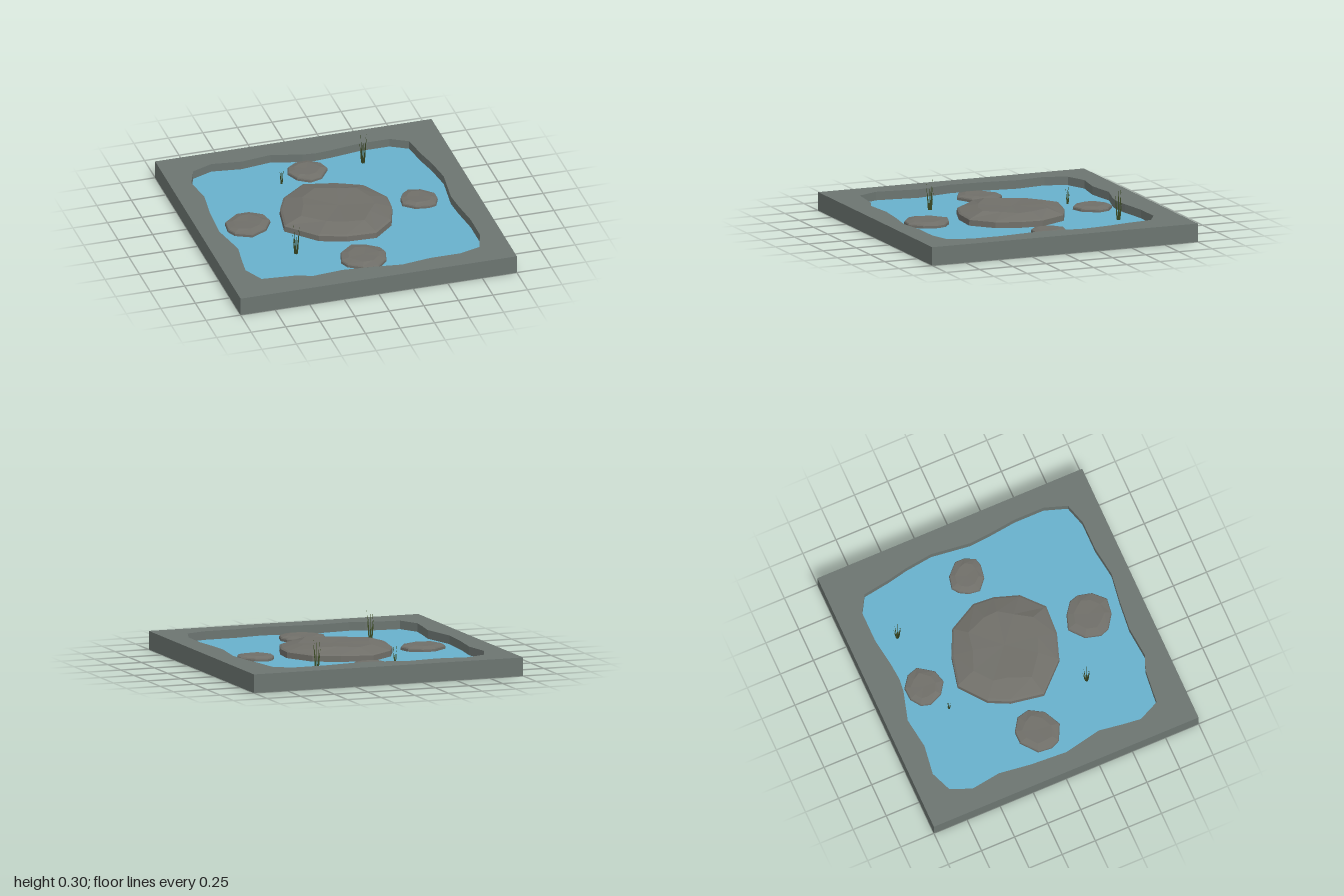
import * as THREE from 'three';

const WATER_Y = 0.07, TOP_Y = 0.13;
const mat = (color, side = THREE.FrontSide) =>
  new THREE.MeshStandardMaterial({ color, side, flatShading: true, roughness: 0.9 });
const stone = mat(0x6c7571, THREE.DoubleSide);
const rockMat = mat(0x706f69);
const waterMat = mat(0x68b0cc, THREE.DoubleSide);
const reedMat = mat(0x3b4a24, THREE.DoubleSide);

// Irregular shoreline, as [x, z] going round the pool
const SHORE = [
  [-0.79, -0.79], [-0.64, -0.85], [-0.43, -0.82], [-0.21, -0.85], [0, -0.79], [0.09, -0.78], [0.21, -0.79],
  [0.42, -0.82], [0.64, -0.82], [0.76, -0.75], [0.79, -0.55], [0.82, -0.41], [0.845, -0.21], [0.81, 0.07],
  [0.82, 0.21], [0.845, 0.42], [0.845, 0.64], [0.79, 0.8], [0.64, 0.845], [0.42, 0.845], [0.21, 0.875],
  [0, 0.845], [-0.21, 0.825], [-0.43, 0.845], [-0.53, 0.805], [-0.78, 0.78], [-0.85, 0.63], [-0.835, 0.5],
  [-0.81, 0.33], [-0.865, 0.06], [-0.85, -0.2], [-0.82, -0.43], [-0.85, -0.64],
];
const SQUARE = [[-1, -1], [1, -1], [1, 1], [-1, 1]];

// Rock outlines at the waterline, as [x, z]
const ROCKS = {
  centreRock: { rim: 0.118, top: 0.154, pts: [
    [0.4, -0.09], [0.39, 0.06], [0.33, 0.235], [0.18, 0.37], [-0.03, 0.358], [-0.215, 0.295],
    [-0.405, 0.095], [-0.365, -0.14], [-0.295, -0.285], [-0.11, -0.43], [0.11, -0.38], [0.29, -0.295]] },
  rightRock: { rim: 0.093, top: 0.104, pts: [
    [0.57, -0.175], [0.66, -0.155], [0.74, -0.075], [0.74, -0.01], [0.705, 0.065], [0.65, 0.08],
    [0.555, 0.065], [0.48, 0], [0.49, -0.08], [0.525, -0.14]] },
  leftRock: { rim: 0.095, top: 0.106, pts: [
    [-0.66, -0.2], [-0.57, -0.2], [-0.48, -0.14], [-0.46, -0.05], [-0.52, 0.05], [-0.64, 0.11],
    [-0.75, 0.055], [-0.78, -0.01], [-0.77, -0.11]] },
  backRock: { rim: 0.093, top: 0.104, pts: [
    [-0.06, -0.765], [0.03, -0.77], [0.11, -0.71], [0.135, -0.63], [0.06, -0.525], [-0.03, -0.5],
    [-0.11, -0.555], [-0.15, -0.65], [-0.13, -0.715]] },
  frontRock: { rim: 0.095, top: 0.106, pts: [
    [-0.03, 0.44], [0.075, 0.475], [0.155, 0.535], [0.175, 0.6], [0.15, 0.7], [0.07, 0.78],
    [-0.04, 0.765], [-0.135, 0.7], [-0.16, 0.635], [-0.13, 0.525]] },
};

function buffer(pos, index) {
  const g = new THREE.BufferGeometry();
  g.setAttribute('position', new THREE.Float32BufferAttribute(pos, 3));
  g.setIndex(index);
  g.computeVertexNormals();
  return g;
}

// Flat horizontal surface facing up, with optional hole
function flat(outline, y, hole) {
  const toPts = (l) => l.map(([x, z]) => new THREE.Vector2(x, -z));
  const shape = new THREE.Shape(toPts(outline));
  if (hole) shape.holes.push(new THREE.Path(toPts(hole)));
  return new THREE.ShapeGeometry(shape).rotateX(-Math.PI / 2).translate(0, y, 0);
}

// Upright wall following an outline; outward or inward facing
function wall(outline, y0, y1, outward) {
  const pos = [], index = [], n = outline.length;
  for (const [x, z] of outline) pos.push(x, y0, z, x, y1, z);
  for (let i = 0; i < n; i++) {
    const a = 2 * i, b = 2 * ((i + 1) % n);
    if (outward) index.push(a, a + 1, b, b, a + 1, b + 1);
    else index.push(a, b, a + 1, b, b + 1, a + 1);
  }
  return buffer(pos, index);
}

// Low faceted rock: near-vertical sides, a sloping shoulder and a slightly dished top
function rock({ pts, rim, top }) {
  const n = pts.length, pos = [], index = [];
  const cx = pts.reduce((s, p) => s + p[0], 0) / n;
  const cz = pts.reduce((s, p) => s + p[1], 0) / n;
  const rings = [[1, WATER_Y - 0.003], [0.995, rim - 0.008], [0.96, rim], [0.64, top]];
  rings.forEach(([s, y], k) => pts.forEach(([x, z], i) => {
    const wobble = k === 3 ? 0.05 * Math.sin(i * 2.4) : 0;
    const drop = k === 3 ? 0.08 * (top - rim) * (1 + Math.sin(i * 1.7)) : 0;
    pos.push(cx + (x - cx) * (s + wobble), y - drop, cz + (z - cz) * (s + wobble));
  }));
  for (let k = 0; k < rings.length - 1; k++) {
    for (let i = 0; i < n; i++) {
      const j = (i + 1) % n, a = k * n + i, b = k * n + j;
      index.push(a, a + n, b, b, a + n, b + n);
    }
  }
  const centre = pos.length / 3, last = (rings.length - 1) * n;
  pos.push(cx, top - 0.2 * (top - rim), cz);
  for (let i = 0; i < n; i++) index.push(last + i, centre, last + (i + 1) % n);
  return buffer(pos, index);
}

// Clump of thin tapering blades leaning outwards
function reeds(x, z, height, spread) {
  const clump = new THREE.Group();
  const count = 8;
  for (let i = 0; i < count; i++) {
    const a = (i / count) * Math.PI * 2 + 0.35;
    const h = height * (1 - 0.13 * ((i * 3) % 5));
    const dir = new THREE.Vector3(Math.cos(a), 0, Math.sin(a));
    const base = dir.clone().multiplyScalar(spread * 0.35);
    const tip = dir.clone().multiplyScalar(spread).setY(h);
    const blade = new THREE.Mesh(new THREE.ConeGeometry(spread * 0.2, h, 3, 1, true).translate(0, h / 2, 0), reedMat);
    blade.name = 'blade';
    blade.position.copy(base);
    blade.quaternion.setFromUnitVectors(new THREE.Vector3(0, 1, 0), tip.sub(base).normalize());
    clump.add(blade);
  }
  clump.position.set(x, WATER_Y, z);
  return clump;
}

export function createModel() {
  const model = new THREE.Group();
  model.name = 'pond';
  const add = (name, geometry, material) => {
    const mesh = new THREE.Mesh(geometry, material);
    mesh.name = name;
    model.add(mesh);
  };

  // Hollow stone surround, open underneath
  add('bankTop', flat(SQUARE, TOP_Y, SHORE), stone);
  add('outerWall', wall(SQUARE, 0, TOP_Y, true), stone);
  add('poolWall', wall(SHORE, WATER_Y, TOP_Y, false), stone);
  add('water', flat(SHORE, WATER_Y), waterMat);

  // Stepping rocks
  for (const [name, spec] of Object.entries(ROCKS)) add(name, rock(spec), rockMat);

  // Reed clumps
  [['backRightReeds', 0.4, -0.66, 0.23, 0.026], ['frontLeftReeds', -0.415, 0.41, 0.22, 0.026],
    ['smallReeds', -0.225, -0.545, 0.135, 0.014]].forEach(([name, ...spec]) => {
    const clump = reeds(...spec);
    clump.name = name.replace('Right', 'Side').replace('Left', 'Side');
    model.add(clump);
  });
  return model;
}
